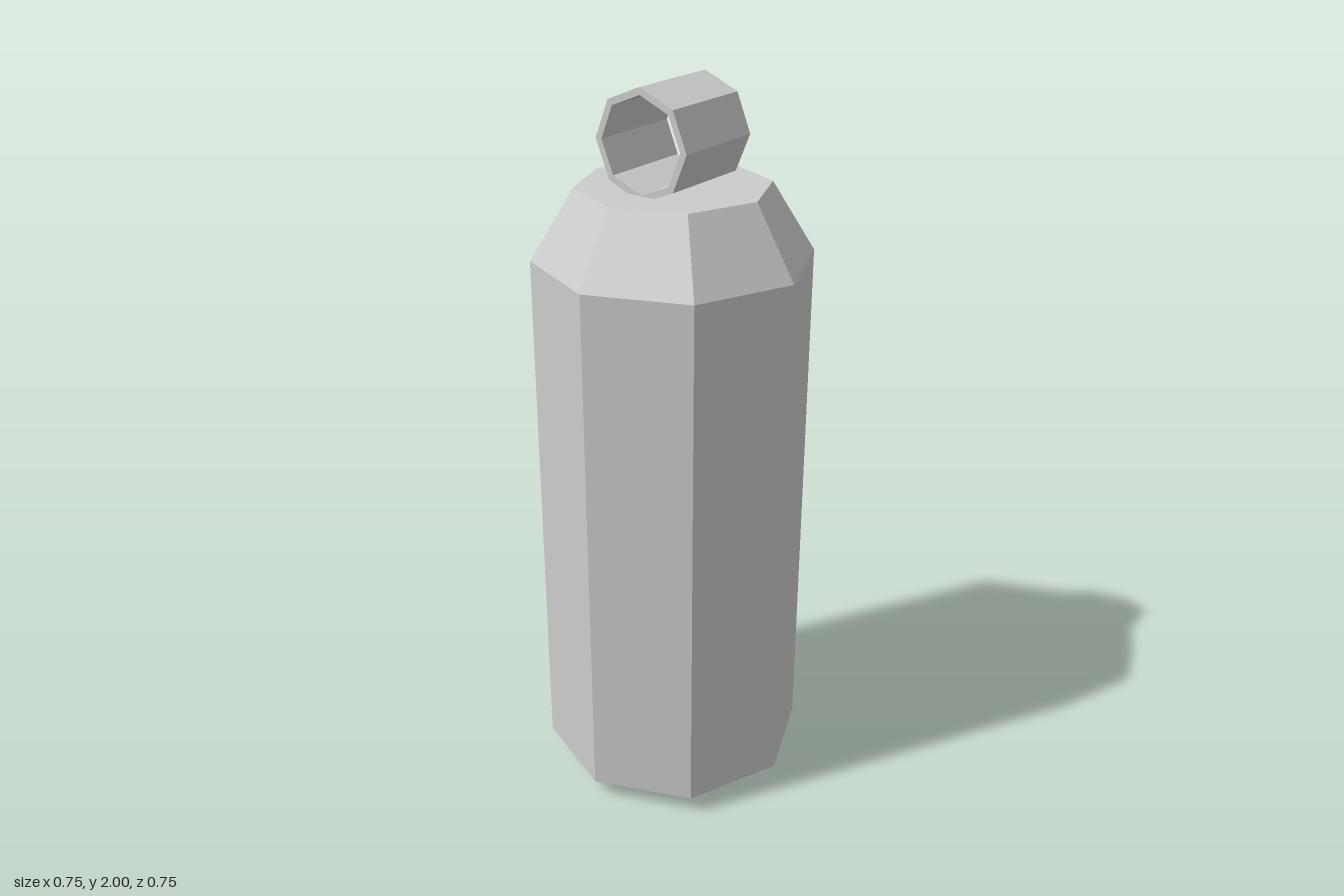
import * as THREE from 'three';

const SIDES = 8;
const material = new THREE.MeshStandardMaterial({ color: 0xcccccc, flatShading: true });

// Regular octagon with corners on the axes
function octagon(radius, PathType) {
  const points = [];
  for (let i = 0; i < SIDES; i++) {
    const a = (i / SIDES) * Math.PI * 2;
    points.push(new THREE.Vector2(radius * Math.cos(a), radius * Math.sin(a)));
  }
  return new PathType(points);
}

function addMesh(group, name, geometry) {
  const mesh = new THREE.Mesh(geometry, material);
  mesh.name = name;
  group.add(mesh);
  return mesh;
}

export function createModel() {
  const model = new THREE.Group();
  model.name = 'canister';

  // Faceted body: bevelled foot, straight wall, sloped shoulder, closed ends
  const profile = [[0, 0], [0.3, 0], [0.373, 0.053], [0.373, 1.545], [0.257, 1.733], [0, 1.733]]
    .map(([r, y]) => new THREE.Vector2(r, y));
  addMesh(model, 'body', new THREE.LatheGeometry(profile, SIDES));

  // Octagonal loop on top, open from front to back
  const outline = octagon(0.142, THREE.Shape);
  outline.holes.push(octagon(0.123, THREE.Path));
  const depth = 0.265;
  const loop = addMesh(model, 'topLoop',
    new THREE.ExtrudeGeometry(outline, { depth, bevelEnabled: false }));
  loop.position.set(0, 1.858, 0.002 - depth / 2);

  return model;
}
